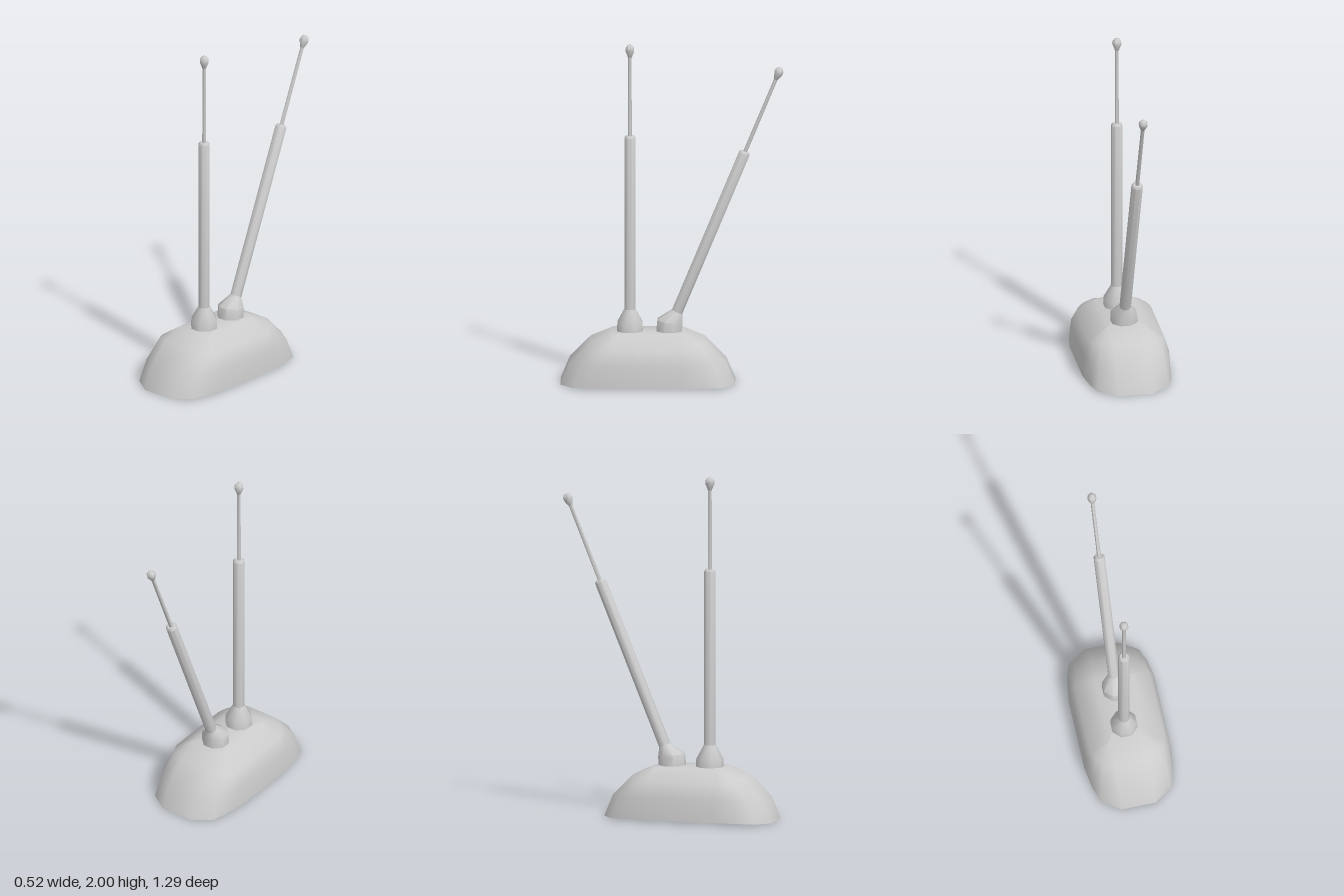
import * as THREE from 'three';
import { toCreasedNormals } from 'three/addons/utils/BufferGeometryUtils.js';

const material = new THREE.MeshStandardMaterial({ color: 0xcccccc, side: THREE.DoubleSide });

// Skin a stack of equal-length rings of [x, y, z] points, optionally closing the top.
function loft(rings, capTop, crease = 0.9) {
  const n = rings[0].length;
  const positions = rings.flat(2);
  const index = [];
  for (let r = 0; r < rings.length - 1; r++) {
    for (let i = 0; i < n; i++) {
      const a = r * n + i, b = r * n + (i + 1) % n;
      index.push(a, a + n, b, b, a + n, b + n);
    }
  }
  if (capTop) {
    const top = rings[rings.length - 1];
    const start = (rings.length - 1) * n;
    for (let k = 0; k < 3; k++) positions.push(top.reduce((s, p) => s + p[k], 0) / n);
    for (let i = 0; i < n; i++) index.push(rings.length * n, start + (i + 1) % n, start + i);
  }
  const geometry = new THREE.BufferGeometry();
  geometry.setAttribute('position', new THREE.Float32BufferAttribute(positions, 3));
  geometry.setIndex(index);
  return toCreasedNormals(geometry, crease);
}

function addMesh(parent, name, geometry) {
  const mesh = new THREE.Mesh(geometry, material);
  mesh.name = name;
  parent.add(mesh);
  return mesh;
}

// Mirror one quadrant of plan points [x, z, y] into a full ring.
function mirroredRing(quadrant) {
  const back = [...quadrant].reverse();
  const place = (points, sx, sz) => points.map(([x, z, y]) => [sx * x, y, sz * z]);
  return [...place(quadrant, 1, 1), ...place(back, -1, 1),
    ...place(quadrant, -1, -1), ...place(back, 1, -1)];
}

// Octagonal ring, flats facing the axes, tilted about x by the given angle.
function octagon(radius, y, z = 0, tilt = 0) {
  return Array.from({ length: 8 }, (_, i) => {
    const a = (i + 0.5) * Math.PI / 4;
    const dz = radius * Math.sin(a);
    return [radius * Math.cos(a), y - dz * Math.sin(tilt), z + dz * Math.cos(tilt)];
  });
}

// Collar, sleeve, thin rod and rounded tip; the upper part leans by tilt.
function createAntenna(name, z, tilt, neckY, neckZ, shoulder) {
  const antenna = new THREE.Group();
  antenna.name = name;
  antenna.position.z = z;

  addMesh(antenna, 'collar', loft([
    octagon(0.081, 0.295),
    octagon(0.079, shoulder.y, shoulder.z, shoulder.tilt),
    octagon(0.034, neckY, neckZ, tilt),
  ], true));

  const mast = new THREE.Group();
  mast.name = 'mast';
  mast.position.set(0, neckY, neckZ);
  mast.rotation.x = tilt;
  antenna.add(mast);

  addMesh(mast, 'sleeve', loft([
    octagon(0.034, -0.02), octagon(0.034, 1.02), octagon(0.024, 1.032),
  ], true));
  addMesh(mast, 'rod', loft([octagon(0.012, 1.03), octagon(0.011, 1.5)], false));
  addMesh(mast, 'tip', loft([
    octagon(0.011, 1.495), octagon(0.017, 1.51), octagon(0.027, 1.535),
    octagon(0.026, 1.553), octagon(0.014, 1.57),
  ], true, 1.2));
  return antenna;
}

export function createModel() {
  const model = new THREE.Group();
  model.name = 'twinAntenna';

  // Hollow base shell, open underneath
  const shell = addMesh(model, 'baseShell', loft([
    [[0.26, 0.21, 0.01], [0.24, 0.345, 0.01], [0.21, 0.435, 0.005], [0.1, 0.507, 0]],
    [[0.25, 0.21, 0.135], [0.23, 0.32, 0.135], [0.195, 0.39, 0.13], [0.1, 0.455, 0.125]],
    [[0.22, 0.21, 0.23], [0.2, 0.26, 0.235], [0.165, 0.295, 0.245], [0.1, 0.333, 0.25]],
    [[0.11, 0.19, 0.302], [0.11, 0.2, 0.302], [0.105, 0.205, 0.302], [0.1, 0.208, 0.302]],
  ].map(mirroredRing), true));
  shell.position.z = 0.145;

  // Upright front antenna and leaning rear antenna
  model.add(createAntenna('uprightAntenna', 0.25, 0, 0.43, 0, { y: 0.35, z: 0, tilt: 0 }));
  model.add(createAntenna('leaningAntenna', 0.022, -Math.PI / 8, 0.415, -0.047,
    { y: 0.36, z: -0.005, tilt: -0.14 }));
  return model;
}
